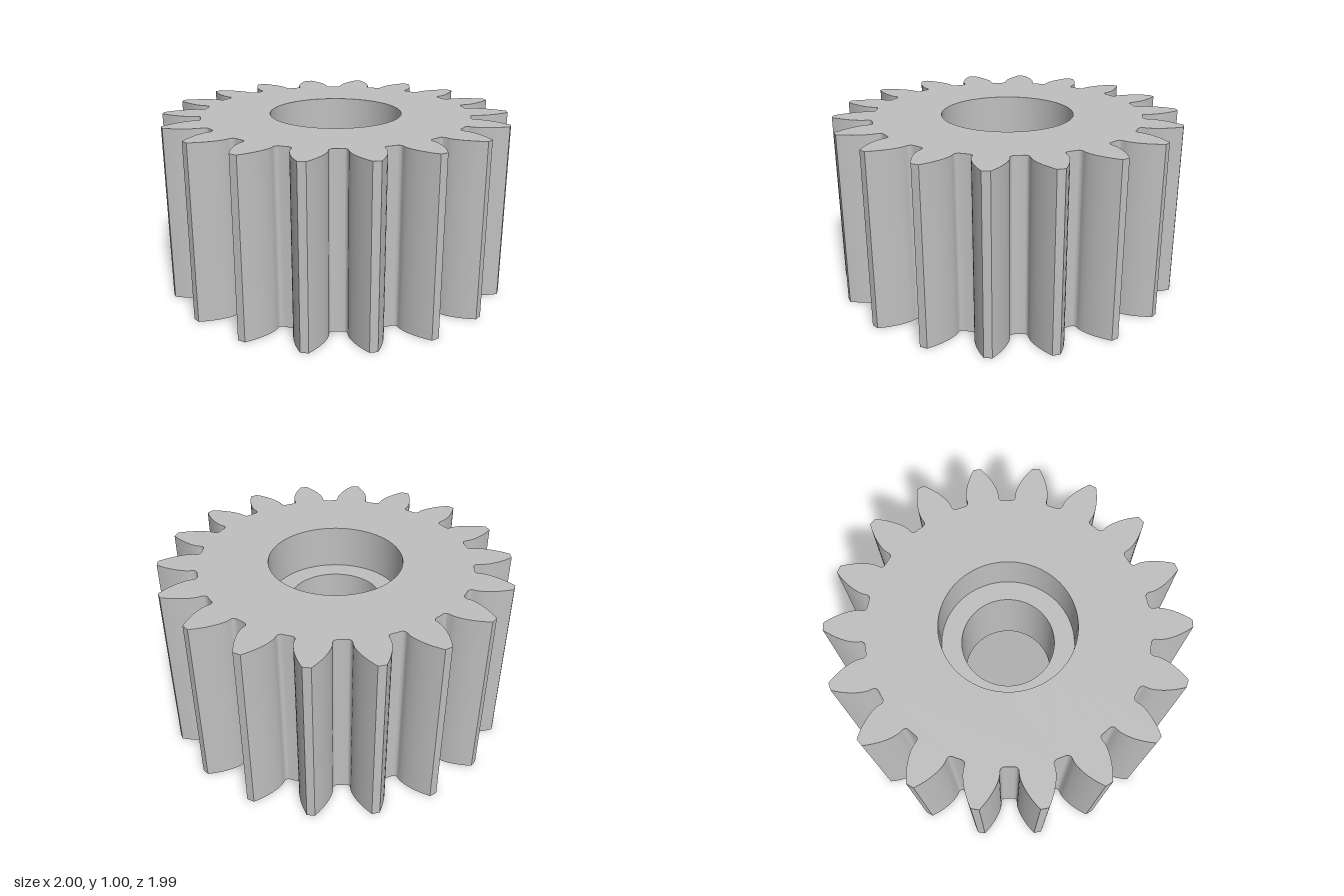
import * as THREE from 'three';
import { toCreasedNormals } from 'three/addons/utils/BufferGeometryUtils.js';

const TEETH = 18, HEIGHT = 1;
const TIP = 1, PITCH = 0.9, ROOT = 0.775;
const PRESSURE = THREE.MathUtils.degToRad(25);
const BASE = PITCH * Math.cos(PRESSURE);
const PITCH_HALF_ANGLE = 0.0843;
const FILLET = 0.022;
const START = THREE.MathUtils.degToRad(-2.87);
const RECESS = 0.38, BORE = 0.265, RECESS_DEPTH = 0.255;

// One side of a tooth from root to tip, as [radius, angle from tooth centre]
function toothFlank() {
  const inv = (a) => Math.tan(a) - a;
  const baseAngle = PITCH_HALF_ANGLE + inv(PRESSURE);
  const pts = [];
  // rounded corner at the root
  for (let i = 0; i <= 5; i++) {
    const t = (i / 5) * Math.PI / 2;
    pts.push([ROOT + FILLET * (1 - Math.cos(t)), baseAngle + (FILLET / ROOT) * (1 - Math.sin(t))]);
  }
  // involute curve up to the tip
  for (let i = 0; i <= 10; i++) {
    const r = BASE + (TIP - BASE) * (i / 10) ** 1.5;
    pts.push([r, baseAngle - inv(Math.acos(Math.min(1, BASE / r)))]);
  }
  return pts;
}

function gearShape() {
  const flank = toothFlank();
  const outline = [];
  const add = (r, a) => outline.push(new THREE.Vector2(r * Math.cos(a), r * Math.sin(a)));
  for (let k = 0; k < TEETH; k++) {
    const centre = START + (k / TEETH) * Math.PI * 2;
    flank.forEach(([r, a]) => add(r, centre - a));
    add(TIP, centre);
    [...flank].reverse().forEach(([r, a]) => add(r, centre + a));
    add(ROOT, centre + Math.PI / TEETH); // middle of the gap floor
  }
  const shape = new THREE.Shape(outline);
  shape.holes.push(new THREE.Path().absarc(0, 0, RECESS, 0, Math.PI * 2, true));
  return shape;
}

export function createModel() {
  const group = new THREE.Group();
  group.name = 'spurGear';
  const steel = new THREE.MeshStandardMaterial({ color: 0xc0c0c0 });
  steel.name = 'steelGrey';

  // Toothed body with the wide recess running through it
  const bodyGeo = new THREE.ExtrudeGeometry(gearShape(), { depth: HEIGHT, bevelEnabled: false, curveSegments: 48 });
  bodyGeo.rotateX(-Math.PI / 2);
  const body = new THREE.Mesh(toCreasedNormals(bodyGeo, 0.6), steel);
  body.name = 'toothedBody';
  group.add(body);

  // Inner collar: two shelves and the narrow bore between the recesses
  const low = RECESS_DEPTH, high = HEIGHT - RECESS_DEPTH;
  const profile = [[RECESS, high], [BORE, high], [BORE, low], [RECESS, low]]
    .map(([r, y]) => new THREE.Vector2(r, y));
  const collar = new THREE.Mesh(toCreasedNormals(new THREE.LatheGeometry(profile, 96), 0.6), steel);
  collar.name = 'boreCollar';
  group.add(collar);

  return group;
}
